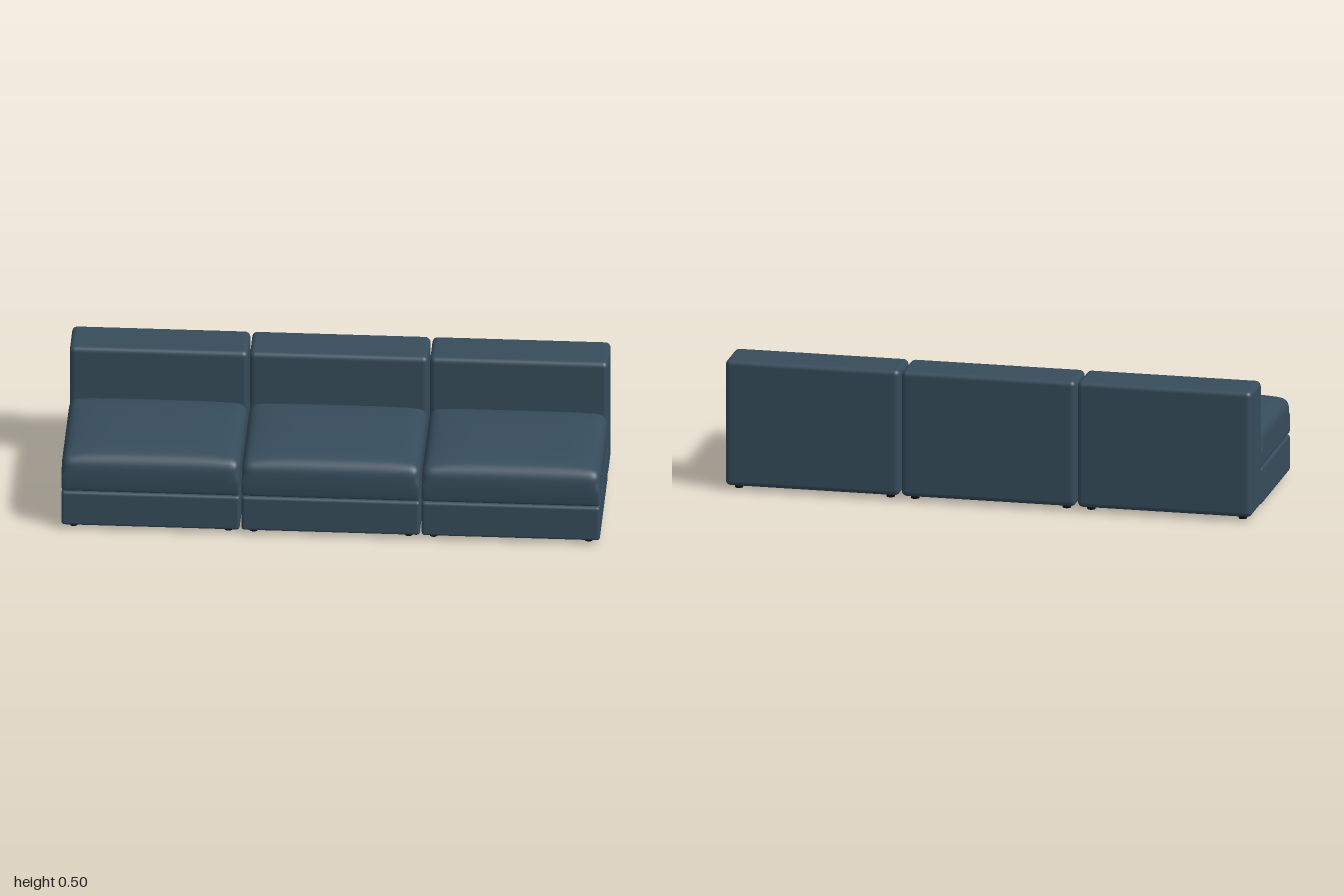
import * as THREE from 'three';
import { RoundedBoxGeometry } from 'three/addons/geometries/RoundedBoxGeometry.js';
import { mergeVertices } from 'three/addons/utils/BufferGeometryUtils.js';

const WIDTH = 0.662, PITCH = 0.669;

// Rounded block given by its y and z extents
function block(name, y0, y1, z0, z1, radius, material) {
  const mesh = new THREE.Mesh(new RoundedBoxGeometry(WIDTH, y1 - y0, z1 - z0, 4, radius), material);
  mesh.name = name;
  mesh.position.set(0, (y0 + y1) / 2, (z0 + z1) / 2);
  return mesh;
}

// Soft seat pad: rounded box with a domed top and slightly swollen sides
function cushionGeometry(w, h, d, dome) {
  const geo = new THREE.BoxGeometry(2, 2, 2, 28, 14, 28);
  geo.deleteAttribute('uv');
  geo.deleteAttribute('normal');
  const pos = geo.attributes.position;
  const half = new THREE.Vector3(w / 2, h / 2, d / 2);
  const p = new THREE.Vector3(), inner = new THREE.Vector3();
  const ease = (t) => Math.sign(t) * (1 - (1 - Math.abs(t)) ** 2); // finer near edges
  for (let i = 0; i < pos.count; i++) {
    p.fromBufferAttribute(pos, i);
    p.set(ease(p.x), ease(p.y), ease(p.z)).multiply(half);
    const r = p.y > 0 ? 0.034 : 0.012;
    const limit = half.clone().subScalar(r);
    inner.copy(p).clamp(limit.clone().negate(), limit);
    p.sub(inner).normalize().multiplyScalar(r).add(inner);
    const u = p.x / half.x, v = p.z / half.z, t = p.y / half.y;
    const lift = (1 - Math.abs(u) ** 5) * (1 - Math.abs(v) ** 4);
    p.z += v > 0 ? 0.006 * v * (1 - t * t) : 0;
    if (t > 0) p.y += dome * lift * t;
    pos.setXYZ(i, p.x, p.y, p.z);
  }
  const merged = mergeVertices(geo, 1e-5);
  merged.computeVertexNormals();
  return merged;
}

export function createModel() {
  const fabric = new THREE.MeshStandardMaterial({ color: 0x364c5b });
  fabric.name = 'slate blue fabric';
  const black = new THREE.MeshStandardMaterial({ color: 0x0e0f10 });
  black.name = 'black plastic';

  const cushionGeo = cushionGeometry(WIDTH, 0.139, 0.484, 0.027);
  const footGeo = new THREE.CylinderGeometry(0.018, 0.015, 0.02, 20);

  const sofa = new THREE.Group();
  sofa.name = 'sofa';
  for (const i of [-1, 0, 1]) {
    const module = new THREE.Group();
    module.name = 'seatModule';
    module.position.x = i * PITCH;

    module.add(block('base', 0.016, 0.157, -0.153, 0.331, 0.012, fabric));
    module.add(block('backrest', 0.016, 0.5, -0.336, -0.155, 0.02, fabric));

    const cushion = new THREE.Mesh(cushionGeo, fabric);
    cushion.name = 'seatCushion';
    cushion.position.set(0, 0.2295, 0.089);
    module.add(cushion);

    // Two feet per row: front, under the seat rear, under the backrest
    for (const z of [0.29, -0.105, -0.283]) {
      for (const side of [-1, 1]) {
        const foot = new THREE.Mesh(footGeo, black);
        foot.name = 'foot';
        foot.position.set(side * 0.288, 0.01, z);
        module.add(foot);
      }
    }
    sofa.add(module);
  }
  return sofa;
}
